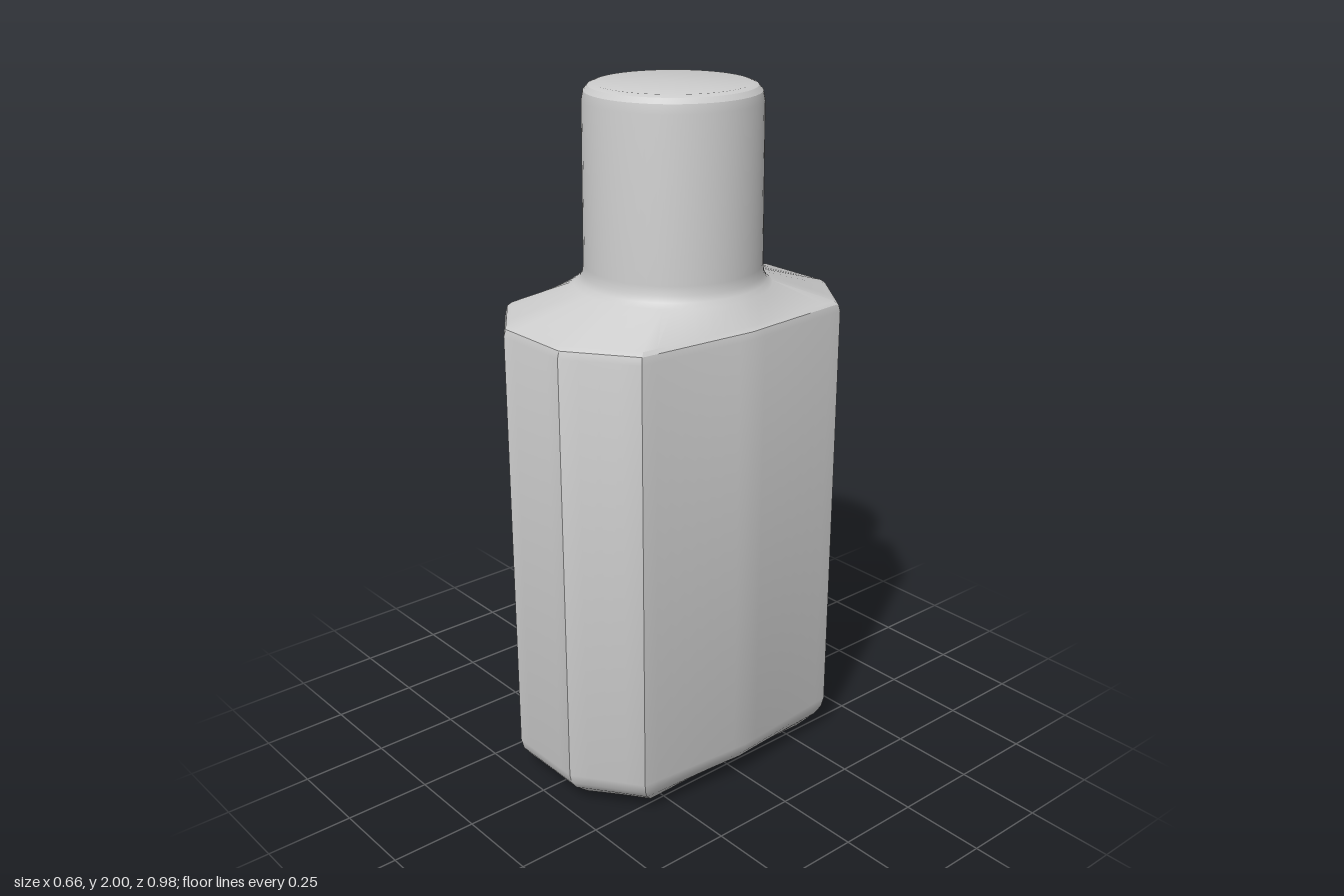
import * as THREE from 'three';
import { toCreasedNormals } from 'three/addons/utils/BufferGeometryUtils.js';

// Ten-sided body outline (x, z), counted from +x towards +z
const corners = [
  [0.33, 0], [0.3, 0.36], [0.12, 0.49], [-0.12, 0.49], [-0.3, 0.36],
  [-0.33, 0], [-0.3, -0.36], [-0.12, -0.49], [0.12, -0.49], [0.3, -0.36],
];

// Subdivide each outline edge so it can flow into the round neck
function outlinePoints() {
  const points = [];
  const steps = [8, 4, 5, 4, 8];
  corners.forEach(([x, z], i) => {
    const [nx, nz] = corners[(i + 1) % corners.length];
    const n = steps[i % 5];
    for (let k = 0; k < n; k++) {
      points.push(new THREE.Vector2(x + (nx - x) * k / n, z + (nz - z) * k / n));
    }
  });
  return points;
}

// Loft rings upwards from the base and close both ends
function loft(rings) {
  const n = rings[0].length;
  const positions = rings.flat().flatMap((p) => [p.x, p.y, p.z]);
  const index = [];
  for (let i = 0; i < rings.length - 1; i++) {
    for (let j = 0; j < n; j++) {
      const a = i * n + j, b = i * n + (j + 1) % n;
      index.push(a, a + n, b, b, a + n, b + n);
    }
  }
  const base = rings.length * n, top = base + 1, last = base - n;
  positions.push(0, rings[0][0].y, 0, 0, rings[rings.length - 1][0].y, 0);
  for (let j = 0; j < n; j++) {
    const k = (j + 1) % n;
    index.push(base, j, k, top, last + k, last + j);
  }
  const geometry = new THREE.BufferGeometry();
  geometry.setAttribute('position', new THREE.Float32BufferAttribute(positions, 3));
  geometry.setIndex(index);
  return toCreasedNormals(geometry, 0.5);
}

export function createModel() {
  const group = new THREE.Group();
  group.name = 'bottle';
  const outline = outlinePoints();

  // Body rings: height and inset from the outline
  const bodyRings = [
    [0, 0.1], [0.012, 0.08], [0.055, 0.027], [0.08, 0.008], [0.11, 0],
    [1.365, 0], [1.385, 0.006], [1.395, 0.02],
  ].map(([y, inset]) => outline.map((p) => {
    const s = 1 - inset / p.length();
    return new THREE.Vector3(p.x * s, y, p.y * s);
  }));

  // Neck rings: height and radius, from the shoulder fillet to the rounded rim
  const neckRings = [
    [1.455, 0.275], [1.468, 0.26], [1.485, 0.252], [1.51, 0.249],
    [1.955, 0.245], [1.98, 0.24], [1.994, 0.228], [2, 0.212],
  ].map(([y, r]) => outline.map((p) => {
    const s = r / p.length();
    return new THREE.Vector3(p.x * s, y, p.y * s);
  }));

  const material = new THREE.MeshStandardMaterial({ color: 0xcccccc });
  const shell = new THREE.Mesh(loft([...bodyRings, ...neckRings]), material);
  shell.name = 'bottleBodyAndNeck';
  group.add(shell);
  return group;
}
